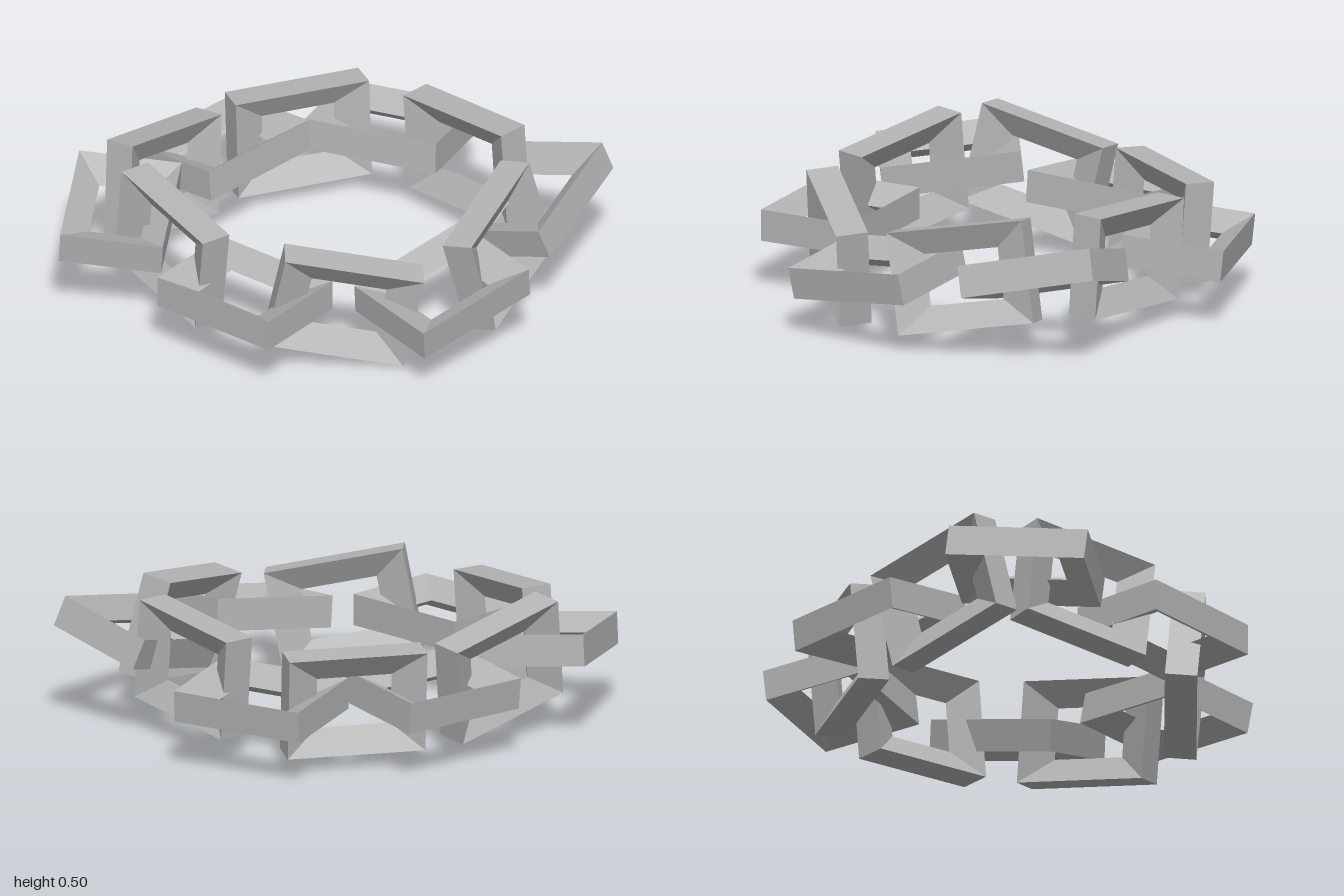
import * as THREE from 'three';

const LENGTH = 0.5, WIDTH = 0.365, THICK = 0.115;
const END_DEPTH = 0.115, SIDE_DEPTH = 0.09;

// Rectangular ring with a triangular section: flat outer band, ridge facing the hole.
function linkGeometry() {
  const signs = [[1, -1], [1, 1], [-1, 1], [-1, -1]];
  const hx = LENGTH / 2, hy = WIDTH / 2;
  const point = (i, k) => {
    const [sx, sy] = signs[i % 4];
    if (k % 3 === 2) return [sx * (hx - END_DEPTH), sy * (hy - SIDE_DEPTH), 0];
    return [sx * hx, sy * hy, k % 3 === 0 ? THICK / 2 : -THICK / 2];
  };
  const pos = [];
  for (let i = 0; i < 4; i++) {
    for (let k = 0; k < 3; k++) {
      const a = point(i, k), b = point(i, k + 1);
      const c = point(i + 1, k + 1), d = point(i + 1, k);
      pos.push(...a, ...b, ...c, ...a, ...c, ...d);
    }
  }
  const g = new THREE.BufferGeometry();
  g.setAttribute('position', new THREE.Float32BufferAttribute(pos, 3));
  g.computeVertexNormals();
  return g;
}

// Each link: centre, long direction, cross direction
const flatLinks = [
  [[-0.285, 0.25, -0.54], [0.42, 0, -0.28], [0.2, 0.04, 0.3]],
  [[0.325, 0.24, -0.575], [0.42, 0.01, 0.29], [-0.19, 0.035, 0.3]],
  [[0.695, 0.30, 0.12], [-0.31, -0.11, 0.38], [0.28, 0.11, 0.22]],
  [[0.27, 0.245, 0.58], [0.43, 0.07, -0.245], [-0.17, 0.04, -0.32]],
  [[-0.413, 0.24, 0.45], [0.325, 0, 0.39], [0.25, 0, -0.245]],
  [[-0.748, 0.295, -0.1], [-0.167, -0.055, 0.47], [0.33, -0.025, 0.13]],
];
const uprightLinks = [
  [[0, 0.235, -0.605], [0.5, 0, -0.07], [0, 0.36, -0.03]],
  [[0.535, 0.275, -0.26], [0.27, 0.045, 0.43], [-0.02, 0.355, -0.033]],
  [[0.52, 0.265, 0.35], [0.31, 0.09, -0.42], [-0.09, 0.355, 0.01]],
  [[-0.085, 0.23, 0.585], [0.49, -0.1, 0.08], [0.063, 0.35, 0.04]],
  [[-0.61, 0.275, 0.13], [0.21, -0.06, 0.485], [0.02, 0.355, 0.04]],
  [[-0.54, 0.268, -0.355], [0.38, -0.09, -0.3], [0.025, 0.35, -0.073]],
];

export function createModel() {
  const group = new THREE.Group();
  group.name = 'chainRing';
  const steel = new THREE.MeshStandardMaterial({ color: 0xb4b4b4 });
  steel.name = 'grey steel';
  const geometry = linkGeometry();

  const addLinks = (list, name) => list.forEach(([centre, along, across], i) => {
    const u = new THREE.Vector3(...along).normalize();
    const n = new THREE.Vector3().crossVectors(u, new THREE.Vector3(...across)).normalize();
    const v = new THREE.Vector3().crossVectors(n, u);
    const mesh = new THREE.Mesh(geometry, steel);
    mesh.name = `${name}${i + 1}`;
    mesh.quaternion.setFromRotationMatrix(new THREE.Matrix4().makeBasis(u, v, n));
    mesh.position.set(...centre);
    group.add(mesh);
  });

  addLinks(flatLinks, 'flatLink');
  addLinks(uprightLinks, 'uprightLink');
  return group;
}
